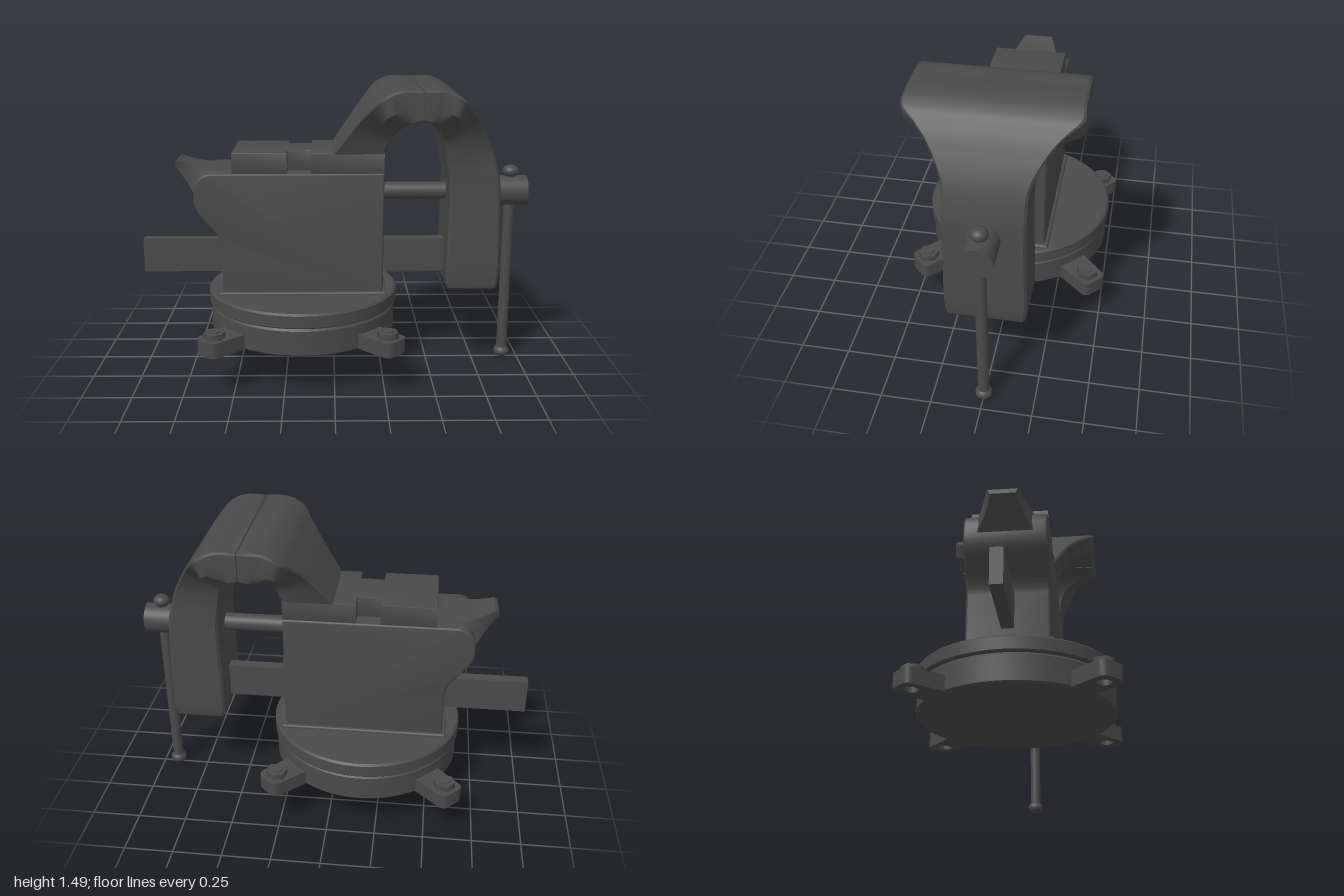
import * as THREE from 'three';
import { toCreasedNormals } from 'three/addons/utils/BufferGeometryUtils.js';
import { RoundedBoxGeometry } from 'three/addons/geometries/RoundedBoxGeometry.js';

const iron = new THREE.MeshStandardMaterial({ color: 0x4a4a4a });
iron.name = 'dark cast iron';

function add(parent, name, geometry, x = 0, y = 0, z = 0) {
  const mesh = new THREE.Mesh(geometry, iron);
  mesh.name = name;
  mesh.position.set(x, y, z);
  parent.add(mesh);
  return mesh;
}

const V = (x, y, z) => new THREE.Vector3(x, y, z);
const crease = (g, angle = 0.55) => toCreasedNormals(g, angle);

// Closed solid through rings of equal point count, always wound outwards
function loft(rings) {
  const n = rings[0].length, pos = [], idx = [];
  rings.forEach(r => r.forEach(p => pos.push(p.x, p.y, p.z)));
  for (let i = 0; i < rings.length - 1; i++)
    for (let j = 0; j < n; j++) {
      const a = i * n + j, b = i * n + (j + 1) % n;
      idx.push(a, b, b + n, a, b + n, a + n);
    }
  const end = (rings.length - 1) * n;
  for (let j = 1; j < n - 1; j++) idx.push(0, j + 1, j, end, end + j, end + j + 1);
  let volume = 0;
  for (let i = 0; i < idx.length; i += 3) {
    const [a, b, c] = [0, 1, 2].map(k => V().fromArray(pos, idx[i + k] * 3));
    volume += a.dot(b.cross(c));
  }
  if (volume < 0) idx.reverse();
  const g = new THREE.BufferGeometry();
  g.setAttribute('position', new THREE.Float32BufferAttribute(pos, 3));
  g.setIndex(idx);
  return crease(g);
}

// Jaw half: each station holds outer, middle and inner [x, y, halfWidth]
function jaw(stations, steps) {
  const [outer, middle, inner] = [0, 1, 2].map(k =>
    new THREE.CatmullRomCurve3(stations.map(s => V(...s[k]))));
  const rings = [];
  for (let i = 0; i <= steps; i++) {
    const t = i / steps, o = outer.getPoint(t), m = middle.getPoint(t), n = inner.getPoint(t);
    const b = 0.012, o2 = o.clone().lerp(m, 0.1), n2 = n.clone().lerp(m, 0.1);
    const half = [V(o.x, o.y, o.z - b), o2, m, n2, V(n.x, n.y, n.z - b)];
    rings.push([...half, ...half.map(p => V(p.x, p.y, -p.z)).reverse()]);
  }
  return loft(rings);
}

// Flat outline extruded upwards from y = 0
function slab(shape, height, bevel) {
  return crease(new THREE.ExtrudeGeometry(shape, {
    depth: height - 2 * bevel, bevelEnabled: bevel > 0, bevelSize: bevel, bevelThickness: bevel,
    bevelOffset: -bevel, bevelSegments: 2, curveSegments: 12,
  }).translate(0, 0, bevel).rotateX(-Math.PI / 2));
}

function lathe(points, segments = 96) {
  return crease(new THREE.LatheGeometry(points.map(p => new THREE.Vector2(...p)), segments));
}

export function createModel() {
  const group = new THREE.Group();
  group.name = 'bench vise';
  const cx = -0.165;

  // Swivel base with a groove between its two discs
  add(group, 'baseDisc', lathe([[0, 0.207], [0.478, 0.207], [0.485, 0.215], [0.485, 0.338],
    [0.475, 0.35], [0, 0.35]]), cx);
  add(group, 'swivelDisc', lathe([[0, 0.345], [0.47, 0.345], [0.47, 0.354], [0.489, 0.354],
    [0.495, 0.36], [0.495, 0.42], [0.485, 0.43], [0, 0.43]]), cx);

  // Four mounting lugs with bolts
  const lugShape = new THREE.Shape();
  const r = 0.04, w = 0.07, tip = 0.675;
  lugShape.moveTo(0.4, -w - 0.01);
  lugShape.lineTo(tip - r, -w);
  lugShape.quadraticCurveTo(tip, -w, tip, -w + r);
  lugShape.lineTo(tip, w - r);
  lugShape.quadraticCurveTo(tip, w, tip - r, w);
  lugShape.lineTo(0.4, w + 0.01);
  lugShape.holes.push(new THREE.Path().absarc(0.605, 0, 0.035, 0, Math.PI * 2, true));
  for (let i = 0; i < 4; i++) {
    const mount = new THREE.Group();
    mount.name = 'mount' + (i + 1);
    mount.position.x = cx;
    mount.rotation.y = Math.PI / 4 + i * Math.PI / 2;
    add(mount, 'lug', slab(lugShape, 0.077, 0), 0, 0.209);
    add(mount, 'boltHead', new THREE.CylinderGeometry(0.054, 0.056, 0.032, 6), 0.605, 0.3);
    add(mount, 'boltShank', new THREE.CylinderGeometry(0.027, 0.027, 0.085, 24), 0.605, 0.28);
    group.add(mount);
  }

  // Fixed body with the swelling anvil end
  add(group, 'bodyFoot', new RoundedBoxGeometry(0.86, 0.03, 0.43, 3, 0.012), -0.16, 0.43);
  const body = new THREE.Shape();
  body.moveTo(0.25, 0.43);
  body.lineTo(0.25, 1.06);
  body.lineTo(-0.62, 1.06);
  body.bezierCurveTo(-0.665, 1.055, -0.69, 1.03, -0.7, 0.98);
  body.bezierCurveTo(-0.72, 0.87, -0.67, 0.84, -0.63, 0.79);
  body.bezierCurveTo(-0.59, 0.745, -0.57, 0.72, -0.57, 0.67);
  body.lineTo(-0.57, 0.43);
  const bodyGeometry = new THREE.ExtrudeGeometry(body, {
    depth: 0.374, bevelSize: 0.01, bevelThickness: 0.01, bevelOffset: -0.01, bevelSegments: 3, curveSegments: 16,
  });
  add(group, 'body', crease(bodyGeometry), 0, 0, -0.187);

  // Anvil horn: x, bottom, top, half width at the top and at the bottom
  const horn = [[-0.81, 1.075, 1.097, 0.07, 0.06], [-0.79, 1.05, 1.11, 0.077, 0.065],
    [-0.75, 1.0, 1.091, 0.092, 0.09], [-0.7, 0.93, 1.076, 0.11, 0.135],
    [-0.65, 0.91, 1.067, 0.127, 0.18], [-0.58, 0.91, 1.062, 0.15, 0.185], [-0.5, 0.91, 1.058, 0.16, 0.185]];
  add(group, 'horn', loft(horn.map(([x, lo, hi, a, b]) =>
    [V(x, lo, -b), V(x, lo, b), V(x, hi, a), V(x, hi, -a)])));

  // Notched block on top of the body
  const side = [[-0.51, 0.19], [-0.235, 0.19], [-0.235, 0.11], [-0.115, 0.11], [-0.115, 0.19], [0.25, 0.19]];
  const outline = [...side.map(([x, z]) => [x, -z]), ...side.slice().reverse()];
  add(group, 'topBlock', slab(new THREE.Shape(outline.map(p => new THREE.Vector2(...p))), 0.115, 0.006), 0, 1.05);

  // Fixed and moving jaws, meeting at a narrow seam
  add(group, 'fixedJaw', jaw([
    [[0.412, 1.49, 0.4], [0.412, 1.42, 0.4], [0.412, 1.347, 0.4]],
    [[0.3, 1.488, 0.4], [0.33, 1.4, 0.4], [0.368, 1.335, 0.39]],
    [[0.222, 1.45, 0.4], [0.25, 1.365, 0.4], [0.338, 1.312, 0.32]],
    [[0.17, 1.395, 0.335], [0.22, 1.31, 0.29], [0.308, 1.275, 0.25]],
    [[0.115, 1.33, 0.275], [0.19, 1.27, 0.235], [0.283, 1.235, 0.215]],
    [[-0.01, 1.158, 0.193], [0.12, 1.158, 0.193], [0.25, 1.158, 0.193]],
  ], 40));
  add(group, 'movingJaw', jaw([
    [[0.416, 1.49, 0.4], [0.416, 1.42, 0.4], [0.416, 1.347, 0.4]],
    [[0.53, 1.488, 0.4], [0.5, 1.4, 0.4], [0.46, 1.335, 0.39]],
    [[0.608, 1.45, 0.4], [0.58, 1.365, 0.4], [0.493, 1.312, 0.32]],
    [[0.66, 1.395, 0.335], [0.61, 1.31, 0.29], [0.52, 1.27, 0.25]],
    [[0.705, 1.33, 0.275], [0.63, 1.27, 0.235], [0.54, 1.22, 0.215]],
    [[0.785, 1.18, 0.197], [0.68, 1.15, 0.197], [0.56, 1.12, 0.195]],
    [[0.828, 1.03, 0.19], [0.7, 1.025, 0.19], [0.577, 1.02, 0.19]],
    [[0.838, 0.9, 0.19], [0.71, 0.9, 0.19], [0.58, 0.9, 0.19]],
    [[0.838, 0.46, 0.19], [0.71, 0.46, 0.19], [0.58, 0.46, 0.19]],
    [[0.828, 0.447, 0.18], [0.71, 0.447, 0.18], [0.59, 0.447, 0.18]],
  ], 72));

  // Slide bar and screw
  add(group, 'slideBar', new THREE.BoxGeometry(1.65, 0.178, 0.06), -0.175, 0.59);
  const rod = (name, radius, x0, x1) => add(group, name,
    new THREE.CylinderGeometry(radius, radius, x1 - x0, 40).rotateZ(Math.PI / 2), (x0 + x1) / 2, 0.932);
  rod('screw', 0.045, 0.2, 0.84);
  rod('screwHead', 0.077, 0.83, 1.0);

  // Sliding handle with knobs
  add(group, 'handle', new THREE.CylinderGeometry(0.028, 0.028, 1.0, 32), 0.917, 0.535);
  for (const [name, y] of [['lowerKnob', 0.033], ['upperKnob', 1.034]])
    add(group, name, new THREE.SphereGeometry(0.042, 32, 20).scale(1, 0.78, 1), 0.917, y);

  return group;
}
